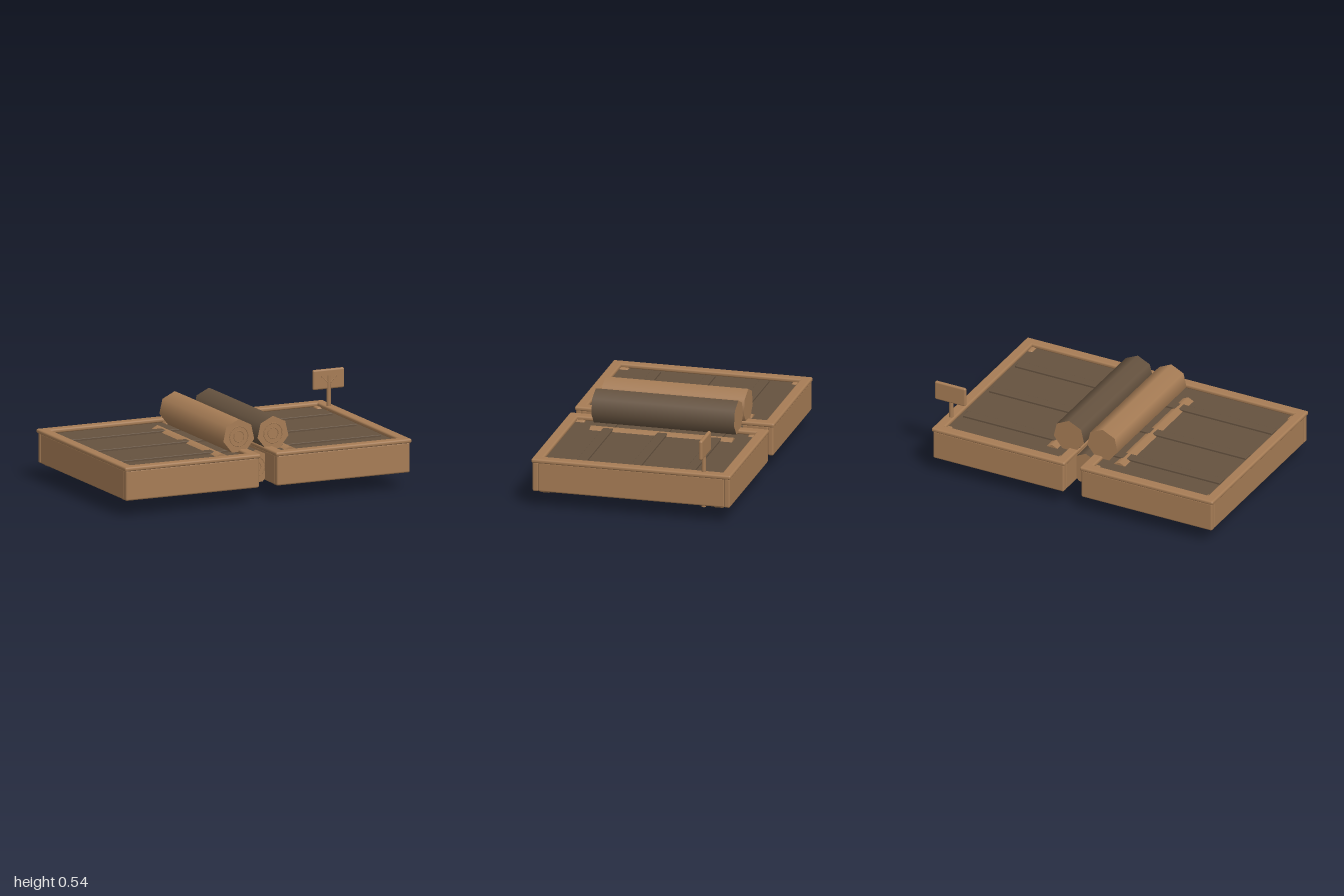
import * as THREE from 'three';
import { RoundedBoxGeometry } from 'three/addons/geometries/RoundedBoxGeometry.js';

function material(name, color) {
  const m = new THREE.MeshStandardMaterial({ color });
  m.name = name;
  return m;
}

export function createModel() {
  const wood = material('light wood', 0xa67c55);
  const bark = material('dark wood', 0x65523f);
  const red = material('red', 0xb0523f);
  const model = new THREE.Group();
  model.name = 'logTrays';

  const add = (parent, name, geometry, mat, x, y, z) => {
    const mesh = new THREE.Mesh(geometry, mat);
    mesh.name = name;
    mesh.position.set(x, y, z);
    parent.add(mesh);
    return mesh;
  };
  // Box given by its size and centre, with softened edges
  const block = (parent, name, size, pos, mat = wood, r = 0.011) =>
    add(parent, name, new RoundedBoxGeometry(...size, 3, r), mat, ...pos);

  // Shallow tray: walls, overhanging rim, thick floor, slats and corner posts
  function tray(name, x) {
    const g = new THREE.Group();
    g.name = name;
    g.position.x = x;
    for (const s of [-1, 1]) {
      block(g, 'longWall', [0.9, 0.19, 0.038], [0, 0.195, s * 0.604]);
      block(g, 'sideWall', [0.038, 0.19, 1.18], [s * 0.43, 0.195, 0]);
      block(g, 'longRim', [0.917, 0.027, 0.066], [0, 0.297, s * 0.596]);
      block(g, 'sideRim', [0.066, 0.027, 1.25], [s * 0.4255, 0.297, 0]);
      for (const t of [-1, 1])
        block(g, 'cornerPost', [0.066, 0.2, 0.066], [s * 0.4, 0.19, t * 0.548]);
    }
    add(g, 'floorPanel', new THREE.BoxGeometry(0.84, 0.081, 1.18), bark, 0, 0.2405, 0);
    for (const z of [-0.345, -0.004, 0.338])
      block(g, 'slat', [0.75, 0.02, 0.064], [0, 0.284, z], bark, 0.004);
    model.add(g);
  }
  tray('rightTray', -0.5415);
  tray('leftTray', 0.4785);

  // Seven-sided log along z with pale ends and growth rings at the front
  function log(name, x, y, mat) {
    const g = new THREE.Group();
    g.name = name;
    g.position.set(x, y, 0);
    const body = new THREE.CylinderGeometry(0.107, 0.107, 0.9, 7, 1, false, Math.PI)
      .rotateX(Math.PI / 2);
    add(g, 'trunk', body, [mat, wood, wood], 0, 0, 0);
    for (const r of [0.034, 0.062])
      add(g, 'growthRing', new THREE.TorusGeometry(r, 0.003, 4, 24), wood, 0, 0, 0.45);
    model.add(g);
  }
  // Pile: three logs below, two above, alternating colours
  [-0.265, -0.033, 0.2].forEach((x, i) => log('lowerLog', x, 0.192, i % 2 ? bark : wood));
  [-0.148, 0.083].forEach((x, i) => log('upperLog', x, 0.392, i % 2 ? bark : wood));

  // Red ball beneath the pile, under a thin pointed plate
  add(model, 'redBall', new THREE.SphereGeometry(0.09, 24, 16), red, -0.028, 0.09, 0);
  const plate = add(model, 'pointedPlate', new THREE.CylinderGeometry(1, 1, 0.008, 4), wood,
    -0.03, 0.096, 0);
  plate.scale.set(0.19, 1, 0.08);

  // Small bristles on the middle log
  for (let i = 0; i < 9; i++) {
    const a = (i - 4) / 4;
    const bristle = add(model, 'bristle', new THREE.ConeGeometry(0.004, 0.04, 5), wood,
      -0.033 + a * 0.045, 0.3 - a * a * 0.012, 0.02 * (i % 3 - 1));
    bristle.rotation.z = -a * 0.5;
  }

  // Signpost with a raised branching mark
  const sign = new THREE.Group();
  sign.name = 'signpost';
  sign.position.set(0.893, 0, -0.457);
  add(sign, 'post', new THREE.CylinderGeometry(0.012, 0.015, 0.415, 10), wood, 0, 0.293, 0.007);
  block(sign, 'board', [0.212, 0.125, 0.024], [0, 0.478, 0]);
  for (const s of [-1, 1]) {
    const arm = add(sign, 'arm', new THREE.CylinderGeometry(0.003, 0.004, 0.075, 6), wood,
      s * 0.025, 0.473, 0.013);
    arm.rotation.z = -s * 0.8;
  }
  model.add(sign);
  return model;
}
